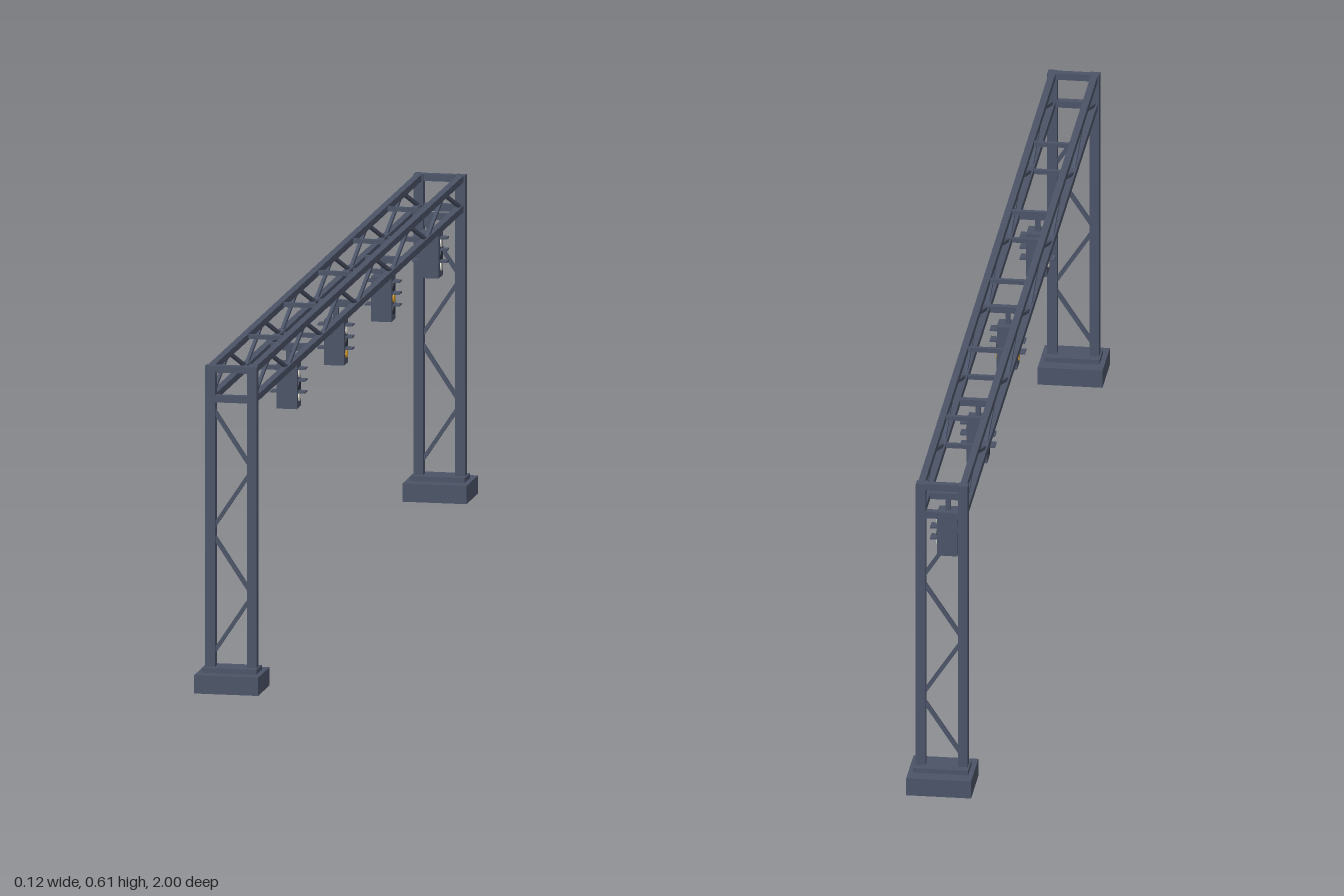
import * as THREE from 'three';

const mat = (name, color) => {
  const m = new THREE.MeshStandardMaterial({ color });
  m.name = name;
  return m;
};

export function createModel() {
  const steel = mat('blue grey steel', 0x4b5367);
  const dark = mat('dark lens', 0x2b303c);
  const pale = mat('pale lens', 0xd8d6cc);
  const amber = mat('amber lens', 0xe0a020);
  const model = new THREE.Group();
  model.name = 'signalGantry';

  const box = (parent, name, size, pos, material = steel) => {
    const mesh = new THREE.Mesh(new THREE.BoxGeometry(...size), material);
    mesh.name = name;
    mesh.position.set(...pos);
    parent.add(mesh);
    return mesh;
  };
  // Square bar between two points
  const bar = (parent, name, a, b, t) => {
    const p = new THREE.Vector3(...a), q = new THREE.Vector3(...b);
    const mesh = box(parent, name, [t, t, p.distanceTo(q)], p.clone().add(q).multiplyScalar(0.5).toArray());
    mesh.lookAt(q);
  };

  const END = 0.9475, SIDE = 0.039, TOP = 0.5985, LOW = 0.543;

  // Towers: footing, base plate, two posts and zigzag lacing
  for (const s of [1, -1]) {
    const tower = new THREE.Group();
    tower.name = s > 0 ? 'frontTower' : 'backTower';
    const z = s * END;
    box(tower, 'footing', [0.12, 0.034, 0.105], [0, 0.017, z]);
    box(tower, 'basePlate', [0.102, 0.009, 0.05], [0, 0.0385, z]);
    for (const x of [-SIDE, SIDE]) box(tower, 'post', [0.018, 0.562, 0.018], [x, 0.324, z]);
    for (let i = 0; i < 4; i++) {
      const x = i % 2 ? SIDE : -SIDE;
      bar(tower, 'lacing', [x, 0.06 + i * 0.1175, z], [-x, 0.06 + (i + 1) * 0.1175, z], 0.007);
    }
    for (const y of [TOP, LOW]) box(tower, 'endCrossbar', [0.07, 0.013, 0.013], [0, y, z]);
    model.add(tower);
  }

  // Truss: four chords, side diagonals and crossbars
  const truss = new THREE.Group();
  truss.name = 'truss';
  for (const x of [-SIDE, SIDE]) {
    for (const y of [TOP, LOW]) box(truss, 'chord', [0.0125, 0.0125, 2 * END], [x, y, 0]);
    const step = END / 6;
    for (let i = 0; i < 12; i++) {
      const y0 = i % 2 ? TOP : LOW, y1 = i % 2 ? LOW : TOP;
      bar(truss, 'diagonal', [x, y0, END - i * step], [x, y1, END - (i + 1) * step], 0.006);
    }
  }
  for (let i = -2; i <= 2; i++)
    for (const y of [TOP, LOW]) box(truss, 'crossbar', [0.07, 0.008, 0.008], [0, y, i * END / 3]);
  model.add(truss);

  // Hanging signals with lenses and visors on both faces, listed top to bottom
  const lensShape = new THREE.CylinderGeometry(0.0085, 0.0085, 0.003, 16);
  lensShape.rotateZ(Math.PI / 2);
  const signals = [
    [0.43, [pale, dark, pale]],
    [0, [pale, dark, amber]],
    [-0.43, [dark, amber, dark]],
    [-0.86, [pale, dark, pale]],
  ];
  for (const [z, lenses] of signals) {
    const signal = new THREE.Group();
    signal.name = 'signal';
    signal.position.z = z;
    box(signal, 'hangerCrossbar', [0.07, 0.0125, 0.012], [0, LOW, 0]);
    box(signal, 'hanger', [0.009, 0.03, 0.009], [0, 0.525, 0]);
    box(signal, 'housing', [0.038, 0.084, 0.038], [0, 0.472, 0]);
    lenses.forEach((material, i) => {
      const y = 0.494 - i * 0.022;
      for (const s of [1, -1]) {
        const lens = new THREE.Mesh(lensShape, material);
        lens.name = 'lens';
        lens.position.set(s * 0.0195, y, 0);
        signal.add(lens);
        box(signal, 'visor', [0.014, 0.003, 0.022], [s * 0.0255, y + 0.0095, 0]);
      }
    });
    model.add(signal);
  }
  return model;
}
